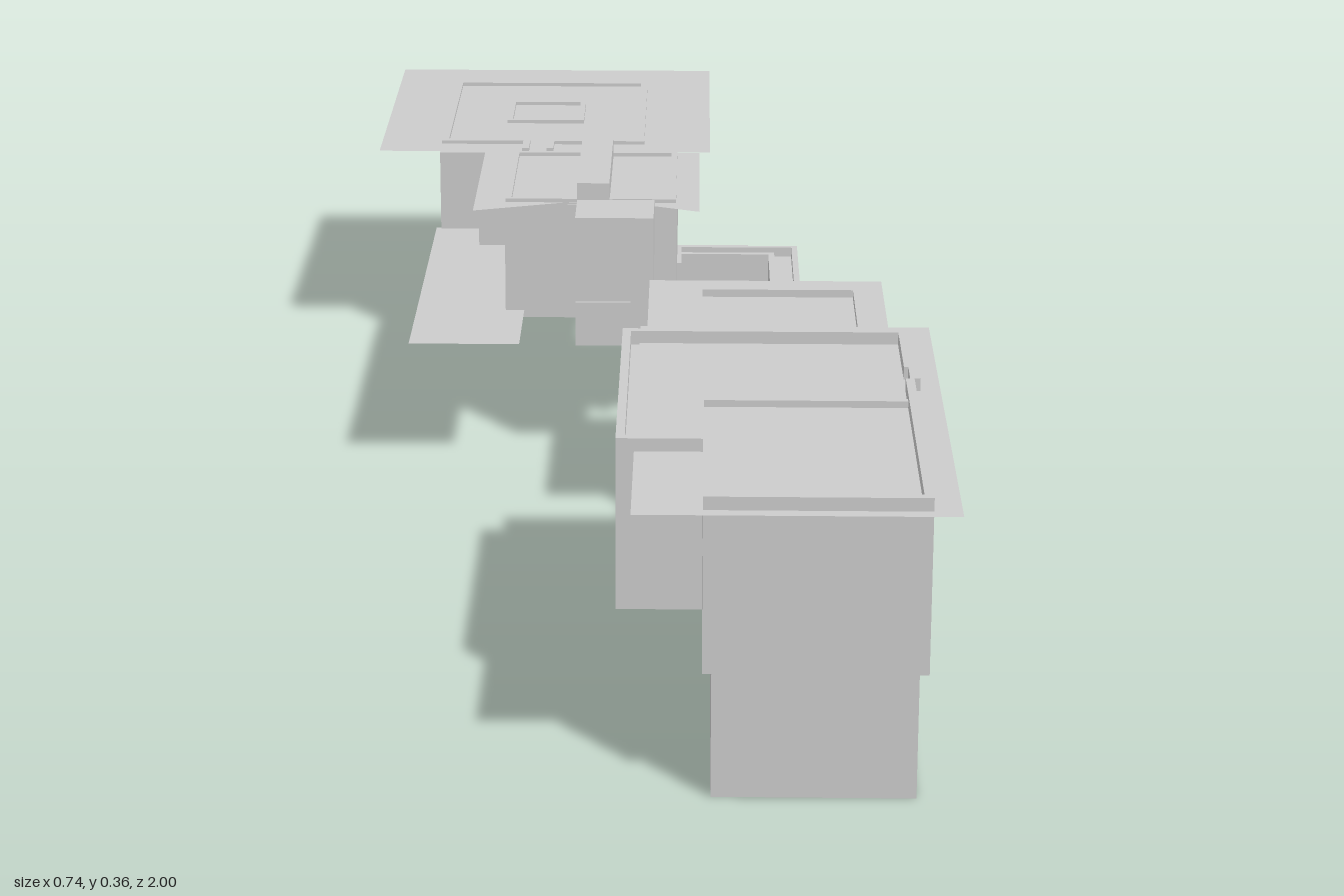
import * as THREE from 'three';

const solid = new THREE.MeshStandardMaterial({ color: 0xcccccc, flatShading: true });
const sheet = new THREE.MeshStandardMaterial({ color: 0xcccccc, flatShading: true, side: THREE.DoubleSide });

const rect = (x0, x1, z0, z1) => [[x0, z0], [x1, z0], [x1, z1], [x0, z1]];
// plan outline: [x, z] corners, laid flat by a quarter turn
const outline = (pts) => new THREE.Shape(pts.map(([x, z]) => new THREE.Vector2(x, -z)));

export function createModel() {
  const model = new THREE.Group();

  const add = (parent, name, geometry, material = solid) => {
    const mesh = new THREE.Mesh(geometry, material);
    mesh.name = name;
    parent.add(mesh);
  };
  const room = (name) => {
    const g = new THREE.Group();
    g.name = name;
    model.add(g);
    return g;
  };
  const box = (parent, name, x0, x1, y0, y1, z0, z1) =>
    add(parent, name, new THREE.BoxGeometry(x1 - x0, y1 - y0, z1 - z0)
      .translate((x0 + x1) / 2, (y0 + y1) / 2, (z0 + z1) / 2));
  const prism = (parent, name, pts, y0, y1) =>
    add(parent, name, new THREE.ExtrudeGeometry(outline(pts), { depth: y1 - y0, bevelEnabled: false })
      .rotateX(-Math.PI / 2).translate(0, y0, 0));
  const slab = (parent, name, pts, y) =>
    add(parent, name, new THREE.ShapeGeometry(outline(pts)).rotateX(-Math.PI / 2).translate(0, y, 0), sheet);
  // thin ridge along each straight run of an axis-aligned path
  const ridge = (parent, name, pts, y0, y1, t = 0.01, closed = true) => {
    for (let i = 0; i < pts.length - (closed ? 0 : 1); i++) {
      const [ax, az] = pts[i], [bx, bz] = pts[(i + 1) % pts.length], h = t / 2;
      box(parent, name, Math.min(ax, bx) - h, Math.max(ax, bx) + h, y0, y1,
        Math.min(az, bz) - h, Math.max(az, bz) + h);
    }
  };

  // front hall: L-shaped upper storey on a smaller lower storey
  const hall = room('frontHall');
  prism(hall, 'hallUpperStorey',
    [[0, 0.43], [0.335, 0.43], [0.335, 0.985], [0.095, 0.985], [0.095, 0.81], [0, 0.81]], 0.145, 0.328);
  box(hall, 'hallLowerStorey', 0.105, 0.325, 0, 0.145, 0.665, 0.98);
  slab(hall, 'hallCeiling', rect(0.02, 0.365, 0.375, 1), 0.33);
  ridge(hall, 'hallWallTop',
    [[0.33, 0.56], [0.33, 0.435], [0.005, 0.435], [0.005, 0.805], [0.1, 0.805], [0.1, 0.98], [0.33, 0.98], [0.33, 0.61]],
    0.32, 0.345, 0.01, false);
  ridge(hall, 'hallDivider', [[0.1, 0.66], [0.33, 0.66]], 0.32, 0.338, 0.008, false);
  box(hall, 'hallDoor', 0.33, 0.342, 0.21, 0.345, 0.565, 0.605);

  // small square room
  const small = room('smallRoom');
  box(small, 'smallRoomBody', 0.085, 0.3, 0.045, 0.248, 0, 0.18);
  box(small, 'smallRoomEntrance', 0.1, 0.2, 0.145, 0.248, 0.17, 0.24);
  slab(small, 'smallRoomCeiling', rect(0.025, 0.33, -0.06, 0.24), 0.25);
  slab(small, 'smallRoomFloor', rect(0.02, 0.32, 0, 0.3), 0.055);
  ridge(small, 'smallRoomWallTop', rect(0.09, 0.295, 0.005, 0.175), 0.24, 0.26);
  box(small, 'smallRoomPeg', 0.16, 0.18, 0.02, 0.05, 0.09, 0.11);

  // passages
  const passages = room('passages');
  box(passages, 'frontPassage', 0.133, 0.165, 0.155, 0.21, 0.17, 0.44);
  prism(passages, 'cornerPassage',
    [[0.05, -0.29], [0.21, -0.29], [0.225, -0.275], [0.225, 0.01], [0.185, 0.01], [0.185, -0.25], [0.05, -0.25]],
    0.175, 0.215);
  ridge(passages, 'passageWallTop', [[0.07, -0.286], [0.221, -0.286], [0.221, 0]], 0.2, 0.228, 0.008, false);
  ridge(passages, 'passageWallTop', [[0.07, -0.254], [0.189, -0.254], [0.189, 0]], 0.2, 0.228, 0.008, false);
  box(passages, 'rearPassage', -0.16, -0.125, 0.175, 0.23, -0.54, -0.38);

  // middle room with porch and roof duct
  const middle = room('middleRoom');
  box(middle, 'middleRoomBody', -0.17, 0.06, 0.17, 0.328, -0.385, -0.145);
  box(middle, 'middleRoomPorch', -0.073, 0.03, 0.175, 0.335, -0.15, -0.06);
  box(middle, 'porchStep', -0.073, 0, 0.16, 0.22, -0.15, -0.056);
  box(middle, 'roofDuct', -0.073, -0.03, 0.32, 0.358, -0.39, -0.145);
  box(middle, 'sideBox', -0.213, -0.165, 0.23, 0.283, -0.335, -0.28);
  box(middle, 'middleRoomPeg', -0.06, -0.04, 0.11, 0.175, -0.275, -0.25);
  slab(middle, 'middleRoomCeiling',
    [[-0.21, -0.395], [0.09, -0.395], [0.09, -0.105], [0.03, -0.13], [-0.09, -0.145], [-0.21, -0.105]], 0.331);
  ridge(middle, 'middleRoomWallTop', rect(-0.165, 0.055, -0.38, -0.15), 0.32, 0.336, 0.008);
  slab(middle, 'middleRoomFloor',
    [[-0.29, -0.53], [0.01, -0.53], [0.01, -0.45], [0.16, -0.45], [0.16, -0.15], [-0.145, -0.15], [-0.145, 0], [-0.29, 0]],
    0.18);

  // rear room with inlaid square ridges on roof and underside
  const rear = room('rearRoom');
  box(rear, 'rearRoomBody', -0.283, 0.01, 0.172, 0.294, -0.91, -0.525);
  slab(rear, 'rearRoomCeiling', rect(-0.37, 0.105, -1, -0.525), 0.296);
  ridge(rear, 'rearRoomWallTop',
    [[-0.16, -0.53], [-0.16, -0.57], [-0.278, -0.57], [-0.278, -0.905], [0.005, -0.905], [0.005, -0.57], [-0.125, -0.57], [-0.125, -0.53]],
    0.29, 0.301, 0.01, false);
  for (const [y0, y1] of [[0.29, 0.301], [0.169, 0.18]]) {
    ridge(rear, 'centreSquare', rect(-0.19, -0.085, -0.79, -0.685), y0, y1, 0.008);
  }
  box(rear, 'backAlcove', -0.2, -0.135, 0.232, 0.28, -0.97, -0.9);

  return model;
}
